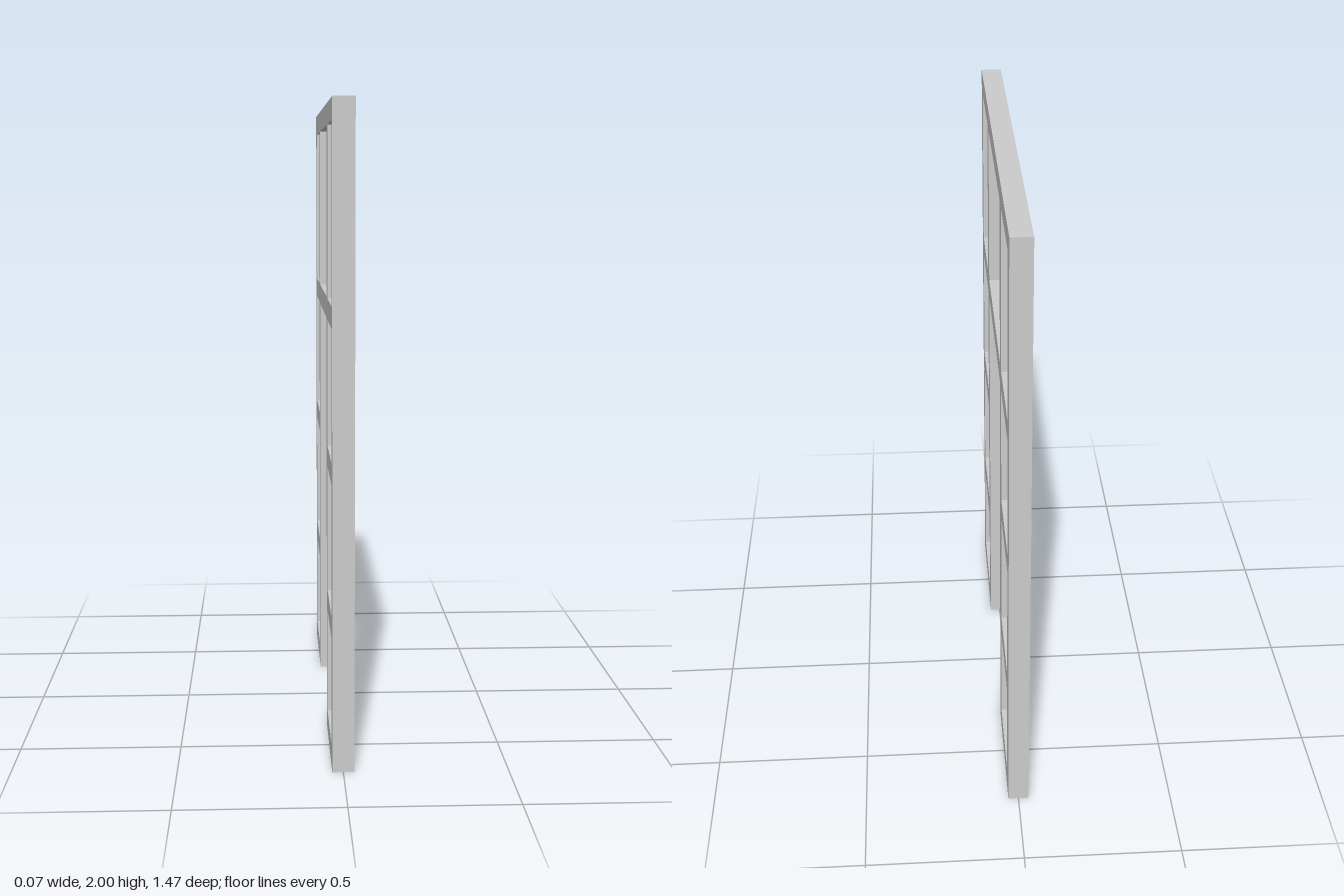
import * as THREE from 'three';

const BAR = 0.0667;      // square bar section
const HALF = 0.7333;     // half width of the frame
const DOOR = 0.3;        // half width of the doorway
const HEIGHT = 2;
const RAILS = [0, 0.4, 0.8683, 1.3333, HEIGHT - BAR]; // underside of each rail

// Rectangular opening in the frame
function opening(x0, x1, y0, y1) {
  const path = new THREE.Path();
  path.moveTo(x0, y0).lineTo(x0, y1).lineTo(x1, y1).lineTo(x1, y0).closePath();
  return path;
}

export function createModel() {
  const group = new THREE.Group();
  group.name = 'doorwayFrame';

  // Outline: two legs joined above the doorway
  const lintel = RAILS[3];
  const outline = new THREE.Shape([
    [-HALF, 0], [-DOOR, 0], [-DOOR, lintel], [DOOR, lintel],
    [DOOR, 0], [HALF, 0], [HALF, HEIGHT], [-HALF, HEIGHT],
  ].map(([x, y]) => new THREE.Vector2(x, y)));

  // Side openings between neighbouring rails, mirrored
  for (let i = 0; i < RAILS.length - 1; i++) {
    const y0 = RAILS[i] + BAR, y1 = RAILS[i + 1];
    const inner = DOOR + BAR, outer = HALF - BAR;
    outline.holes.push(opening(inner, outer, y0, y1), opening(-outer, -inner, y0, y1));
  }

  // Transom opening above the doorway
  outline.holes.push(opening(-DOOR, DOOR, lintel + BAR, HEIGHT - BAR));

  // Extrude to bar depth and turn so the frame spans z
  const geometry = new THREE.ExtrudeGeometry(outline, { depth: BAR, bevelEnabled: false });
  geometry.translate(0, 0, -BAR / 2).rotateY(-Math.PI / 2);

  const frame = new THREE.Mesh(geometry, new THREE.MeshStandardMaterial({ color: 0xcccccc }));
  frame.name = 'frame';
  group.add(frame);
  return group;
}
